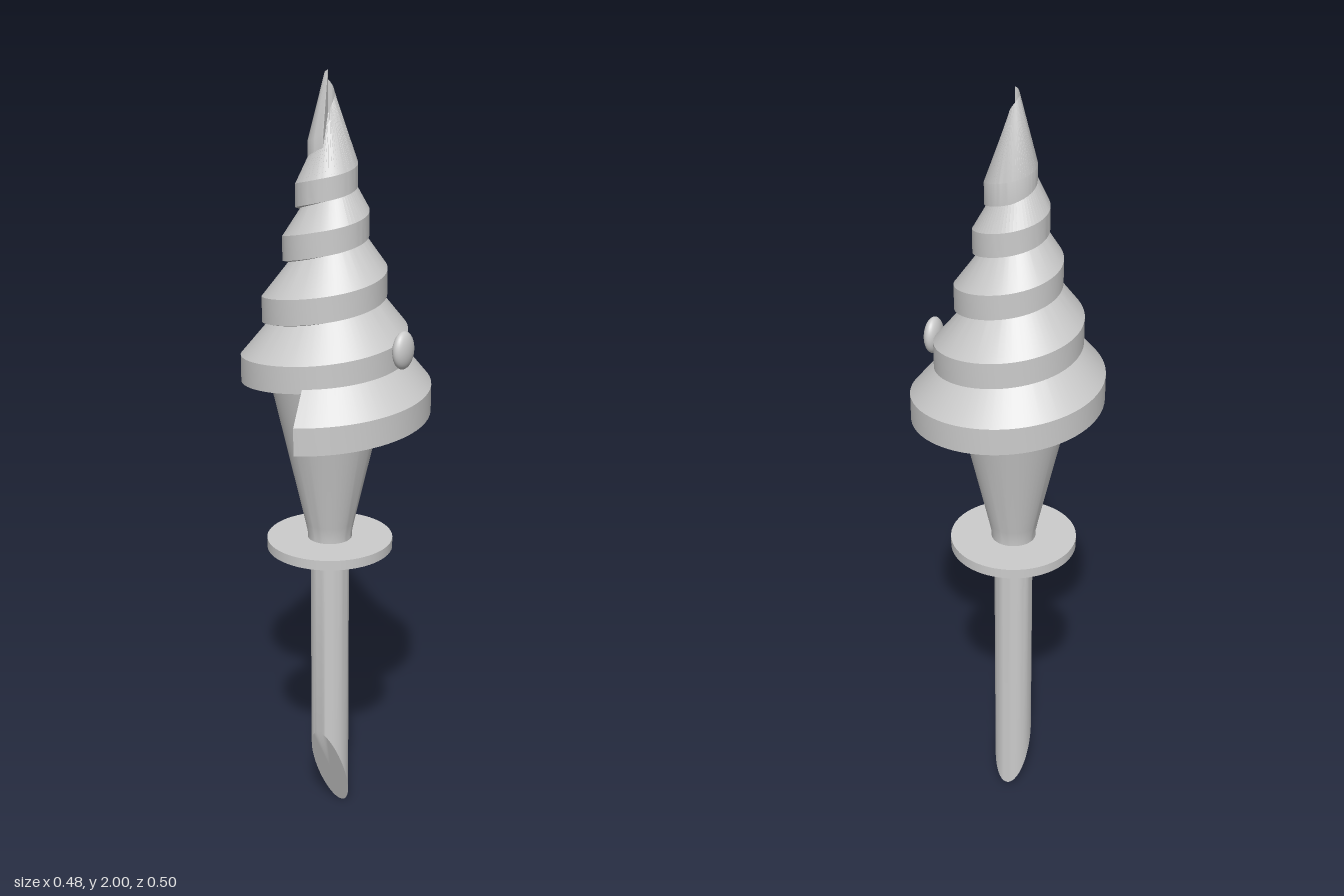
import * as THREE from 'three';
import { toCreasedNormals } from 'three/addons/utils/BufferGeometryUtils.js';

const material = new THREE.MeshStandardMaterial({ color: 0xcccccc });

// Values of the coil's section after each whole turn
const COIL = {
  outer: [0.271, 0.208, 0.156, 0.104, 0.077, 0.046],
  base: [1.135, 1.27, 1.425, 1.575, 1.70, 1.80],
  side: [0.07, 0.067, 0.063, 0.06, 0.055, 0.05],
  slope: [1.2, 1.2, 1.3, 1.6, 2.2, 4.3],
  inner: [0.13, 0.1, 0.07, 0.03, 0.012, 0.012],
};

function at(list, t) {
  const i = Math.min(Math.floor(t), list.length - 2);
  return THREE.MathUtils.lerp(list[i], list[i + 1], t - i);
}

// Closed section (radius, height) of the coil at turn t
function section(t) {
  const R = at(COIL.outer, t), y = at(COIL.base, t), h = at(COIL.side, t);
  const r = at(COIL.inner, t), drop = 0.06 * R;
  return [
    [R, y], [R, y + h],
    [r, y + h + at(COIL.slope, t) * (R - r)],
    [r, y - drop], [r + (R - r) * 0.6, y - drop],
  ];
}

function coilGeometry() {
  const steps = 320, n = 5, start = 0.29;
  const pos = [], index = [];
  for (let i = 0; i <= steps; i++) {
    const t = (i / steps) * 5, a = start + t * Math.PI * 2;
    for (const [r, y] of section(t)) pos.push(r * Math.sin(a), y, r * Math.cos(a));
  }
  for (let i = 0; i < steps; i++) {
    for (let j = 0; j < n; j++) {
      const a = i * n + j, b = i * n + (j + 1) % n;
      index.push(a, a + n, b, b, a + n, b + n);
    }
  }
  // Cut faces at both ends
  const e = steps * n;
  for (let j = 1; j < n - 1; j++) {
    index.push(0, j, j + 1, e, e + j + 1, e + j);
  }
  const g = new THREE.BufferGeometry();
  g.setAttribute('position', new THREE.Float32BufferAttribute(pos, 3));
  g.setIndex(index);
  return toCreasedNormals(g, 0.35);
}

// Round rod whose lower end is cut off at a slant
function rodGeometry() {
  const r = 0.05, top = 0.81;
  const g = new THREE.CylinderGeometry(r, r, top, 40);
  g.translate(0, top / 2, 0);
  const p = g.attributes.position;
  for (let i = 0; i < p.count; i++) {
    if (p.getY(i) < 0.01) p.setY(i, 0.26 * (p.getZ(i) + r) / (2 * r));
  }
  return toCreasedNormals(g, 0.5);
}

export function createModel() {
  const model = new THREE.Group();
  model.name = 'spiralStake';
  const body = new THREE.Group();
  body.name = 'body';
  body.position.set(-0.018, 0, -0.009);
  model.add(body);

  const add = (name, geometry, x = 0, y = 0, z = 0) => {
    const mesh = new THREE.Mesh(geometry, material);
    mesh.name = name;
    mesh.position.set(x, y, z);
    body.add(mesh);
    return mesh;
  };

  add('rod', rodGeometry());
  add('collar', new THREE.CylinderGeometry(0.162, 0.162, 0.026, 64), 0, 0.809, 0);

  // Flared neck, closed on top inside the coil
  const neck = [[0.057, 0.81], [0.057, 0.835], [0.063, 0.865], [0.125, 1.14], [0.15, 1.25], [0, 1.25]];
  const neckGeometry = new THREE.LatheGeometry(neck.map(([r, y]) => new THREE.Vector2(r, y)), 48);
  add('neck', toCreasedNormals(neckGeometry, 0.6));

  add('coil', coilGeometry());

  const bead = add('bead', new THREE.SphereGeometry(1, 32, 20), 0.213, 1.355, -0.003);
  bead.scale.set(0.021, 0.047, 0.037);

  return model;
}
